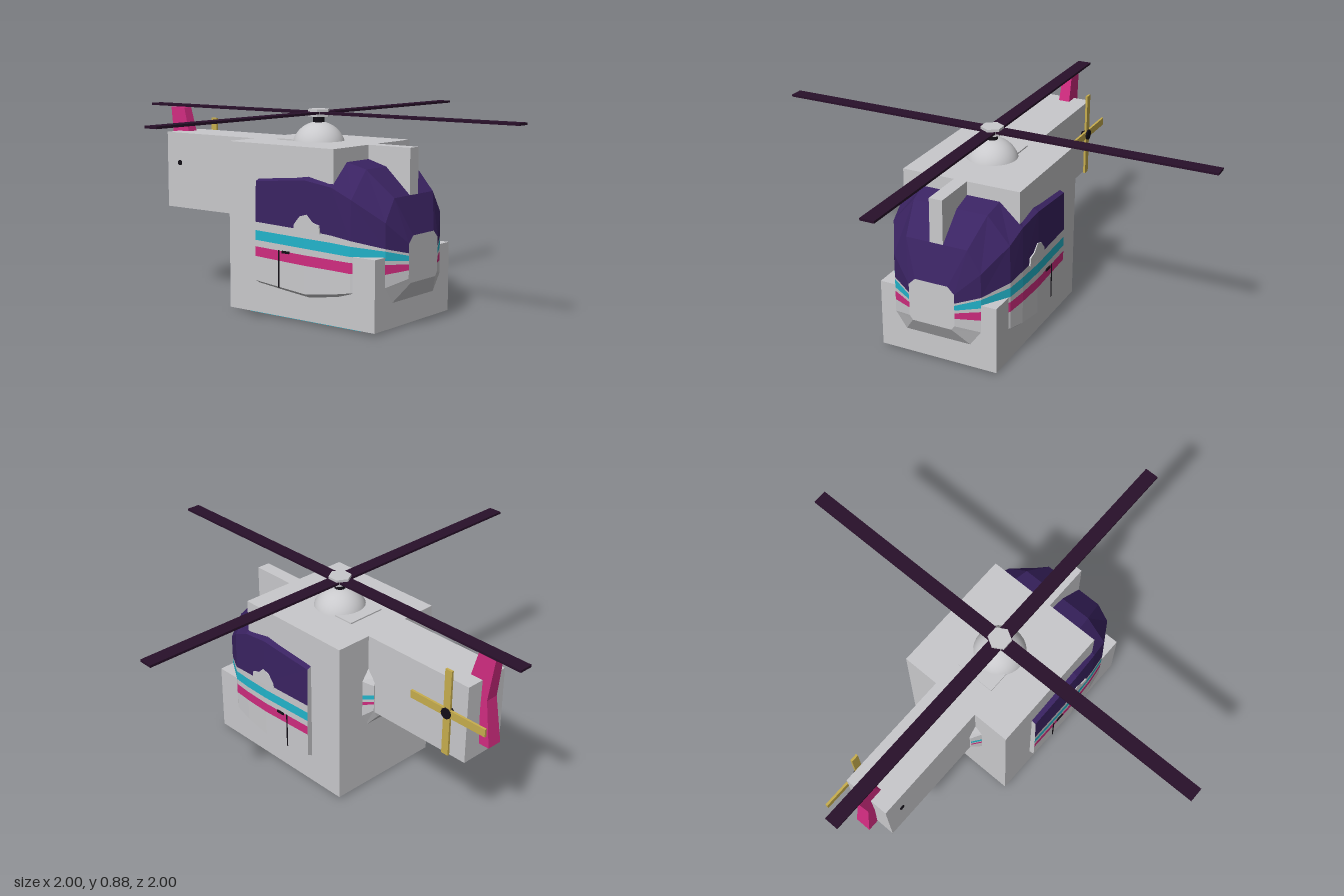
import * as THREE from 'three';

const paint = (name, color) => Object.assign(new THREE.MeshStandardMaterial({ color }), { name });

export function createModel() {
  const grey = paint('pale grey', 0xc9c9cc);
  const purple = paint('deep purple', 0x3a2362);
  const cyan = paint('cyan', 0x22b5cc);
  const pink = paint('magenta', 0xd02c80);
  const dark = paint('dark plum', 0x28102a);
  const yellow = paint('mustard', 0xc8ae4e);
  const black = paint('black', 0x120e16);

  const model = new THREE.Group();
  model.name = 'helicopter';

  function add(name, geometry, material, x = 0, y = 0, z = 0) {
    const mesh = new THREE.Mesh(geometry, material);
    mesh.name = name;
    mesh.position.set(x, y, z);
    model.add(mesh);
    return mesh;
  }

  // Box given by its minimum and maximum on each axis
  function box(name, material, x0, x1, y0, y1, z0, z1) {
    return add(name, new THREE.BoxGeometry(x1 - x0, y1 - y0, z1 - z0), material,
      (x0 + x1) / 2, (y0 + y1) / 2, (z0 + z1) / 2);
  }

  // Outline of [z, y] points, extruded along x and centred on x = 0
  function sidePlate(points, depth) {
    const shape = new THREE.Shape(points.map(([z, y]) => new THREE.Vector2(-z, y)));
    return new THREE.ExtrudeGeometry(shape, { depth, bevelEnabled: false })
      .translate(0, 0, -depth / 2).rotateY(Math.PI / 2);
  }

  // Half cross-section from bottom centre to top centre
  function section(z, bottom, side, sideLow, levels, shoulder, roof) {
    const half = [[0, bottom[1]], bottom, [side, sideLow],
      ...levels.map((y) => [side, y]), shoulder, roof, [0, roof[1]]];
    return { z, half };
  }

  // Mirrored loft through sections (front to back), one colour per row
  function loft(name, sections, rowMaterials, capMaterial) {
    const faces = new Map();
    function quad(material, a, b, c, d) {
      if (!faces.has(material)) faces.set(material, []);
      const out = faces.get(material);
      for (const s of [1, -1]) {
        const order = s > 0 ? [a, b, c, a, c, d] : [a, c, b, a, d, c];
        for (const [x, y, z] of order) out.push(x * s, y, z);
      }
    }
    const point = (j, i) => [...sections[j].half[i], sections[j].z];
    const middle = (j, i) => [0, sections[j].half[i][1], sections[j].z];
    const last = sections.length - 1;
    rowMaterials.forEach((material, i) => {
      for (let j = 0; j < last; j++) {
        quad(material, point(j, i), point(j + 1, i), point(j + 1, i + 1), point(j, i + 1));
      }
      quad(capMaterial, middle(0, i), point(0, i), point(0, i + 1), middle(0, i + 1));
      quad(capMaterial, middle(last, i + 1), point(last, i + 1), point(last, i), middle(last, i));
    });
    for (const [material, positions] of faces) {
      const geometry = new THREE.BufferGeometry();
      geometry.setAttribute('position', new THREE.Float32BufferAttribute(positions, 3));
      geometry.computeVertexNormals();
      add(`${name} ${material.name}`, geometry, material);
    }
  }

  // Boxy hull, canopy post and tail boom
  box('cabin block', grey, -0.27, 0.27, 0.01, 0.74, -0.28, 0.29);
  box('front lower block', grey, -0.27, 0.27, 0.01, 0.31, 0.29, 0.5);
  box('canopy post', grey, -0.03, 0.03, 0.53, 0.74, 0.29, 0.5);
  box('tail boom', grey, -0.105, 0.105, 0.39, 0.74, -0.82, -0.28);
  box('roof panel', grey, -0.09, 0.09, 0.74, 0.746, -0.16, 0);

  // Faceted fuselage with stripes and canopy
  loft('fuselage', [
    section(0.55, [0.09, 0.195], 0.105, 0.215, [0.25, 0.275, 0.288, 0.31, 0.32], [0.105, 0.36], [0.075, 0.39]),
    section(0.5, [0.15, 0.115], 0.2, 0.185, [0.24, 0.28, 0.297, 0.335, 0.345], [0.2, 0.45], [0.14, 0.545]),
    section(0.38, [0.22, 0.11], 0.275, 0.16, [0.24, 0.285, 0.31, 0.352, 0.375], [0.27, 0.54], [0.17, 0.655]),
    section(0.29, [0.24, 0.11], 0.288, 0.145, [0.246, 0.29, 0.316, 0.36, 0.39], [0.284, 0.585], [0.18, 0.68]),
    section(0.16, [0.25, 0.1], 0.296, 0.13, [0.25, 0.294, 0.322, 0.365, 0.4], [0.293, 0.605], [0.2, 0.66]),
    section(-0.11, [0.25, 0.13], 0.294, 0.155, [0.26, 0.302, 0.33, 0.372, 0.408], [0.29, 0.582], [0.2, 0.62]),
  ], [grey, grey, grey, pink, grey, cyan, grey, purple, purple, purple], grey);

  // Tapered root between cabin and boom
  loft('boom root', [
    section(-0.27, [0.11, 0.3], 0.145, 0.36, [0.42, 0.435, 0.447, 0.468, 0.48], [0.145, 0.54], [0.1, 0.605]),
    section(-0.32, [0.09, 0.36], 0.11, 0.4, [0.43, 0.443, 0.455, 0.474, 0.48], [0.11, 0.52], [0.09, 0.555]),
  ], [grey, grey, grey, pink, grey, cyan, grey, grey, grey, grey], grey);

  // Doors, window notches and skids on both sides
  const notch = [[0.24, 0.39], [0.235, 0.425], [0.2, 0.435], [0.17, 0.465],
    [0.135, 0.455], [0.105, 0.42], [0.1, 0.395]];
  for (const s of [1, -1]) {
    const side = s > 0 ? 'left' : 'right';
    add(`${side} window notch`, sidePlate(notch, 0.008), grey, s * 0.294);
    box(`${side} door handle`, black, s * 0.297 - 0.004, s * 0.297 + 0.004, 0.29, 0.3, 0.04, 0.08);
    box(`${side} door seam`, black, s * 0.295 - 0.003, s * 0.295 + 0.003, 0.14, 0.3, 0.018, 0.023);
    box(`${side} skid`, cyan, s * 0.22 - 0.022, s * 0.22 + 0.022, 0, 0.012, -0.19, 0.41);
  }

  // Main rotor
  add('rotor dome', new THREE.SphereGeometry(0.117, 32, 16, 0, Math.PI * 2, 0, Math.PI / 2), grey, 0, 0.705, 0);
  add('rotor mast', new THREE.CylinderGeometry(0.025, 0.025, 0.08, 12), black, 0, 0.82, 0);
  const hub = new THREE.CylinderGeometry(0.05, 0.05, 0.032, 6).toNonIndexed();
  hub.computeVertexNormals();
  add('rotor hub', hub, grey, 0, 0.86, 0);
  box('side rotor blades', dark, -1, 1, 0.855, 0.865, -0.031, 0.031);
  box('fore and aft rotor blades', dark, -0.031, 0.031, 0.8545, 0.8645, -1, 1);

  // Tail fin, narrowing towards the top
  const fin = sidePlate([[-0.76, 0.74], [-0.82, 0.6], [-0.83, 0.455], [-0.88, 0.455],
    [-0.85, 0.66], [-0.875, 0.85], [-0.79, 0.85]], 0.07);
  const pos = fin.attributes.position;
  for (let i = 0; i < pos.count; i++) {
    pos.setX(i, pos.getX(i) * THREE.MathUtils.mapLinear(pos.getY(i), 0.455, 0.85, 1, 0.65));
  }
  fin.computeVertexNormals();
  add('tail fin', fin, pink);

  // Tail rotor
  box('upright tail rotor blades', yellow, 0.125, 0.135, 0.407, 0.795, -0.757, -0.723);
  box('level tail rotor blades', yellow, 0.1245, 0.1345, 0.583, 0.618, -0.935, -0.548);
  add('tail rotor axle', new THREE.CylinderGeometry(0.012, 0.012, 0.24, 10).rotateZ(Math.PI / 2), black, 0.01, 0.6, -0.74);
  add('tail rotor hub', new THREE.CylinderGeometry(0.024, 0.024, 0.022, 10).rotateZ(Math.PI / 2), black, 0.131, 0.6, -0.74);

  return model;
}
